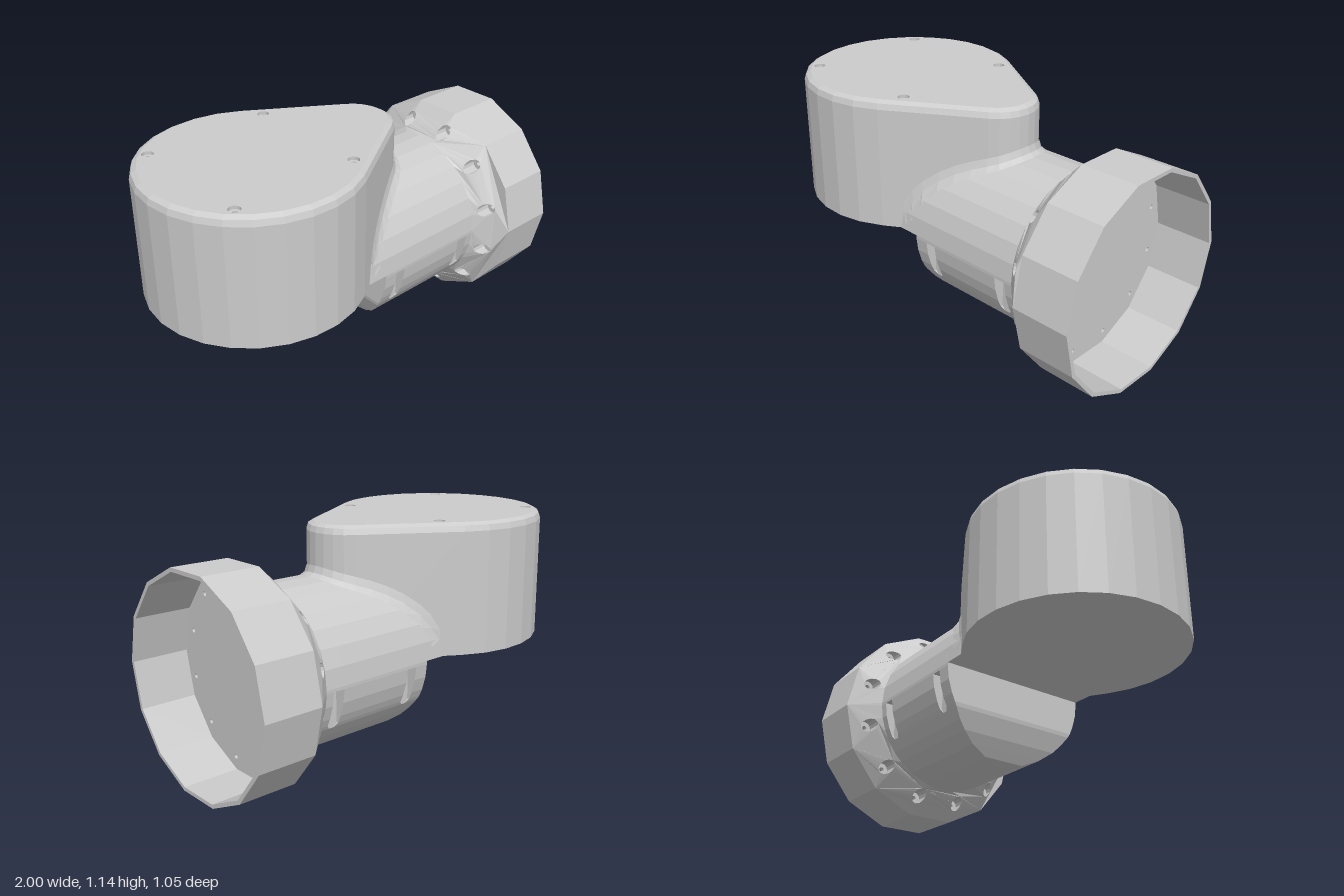
import * as THREE from 'three';

const V = (x, y, z) => new THREE.Vector3(x, y, z);
const RAD = Math.PI / 180;
const AXIS_Y = 0.515;           // height of the barrel axis and of the head's underside
const BARREL_R = 0.393, FLANGE_R = 0.525;
const material = new THREE.MeshStandardMaterial({ color: 0xcccccc, flatShading: true, side: THREE.DoubleSide });

function add(group, name, geometry) {
  const mesh = new THREE.Mesh(geometry, material);
  mesh.name = name;
  group.add(mesh);
  return mesh;
}

// Skin a list of equally long point rows; skip(i, j) leaves a cell open
function loft(rows, closed = true, skip = () => false) {
  const pos = [], n = rows[0].length;
  for (let i = 0; i < rows.length - 1; i++) {
    for (let j = 0; j < (closed ? n : n - 1); j++) {
      if (skip(i, j)) continue;
      const k = (j + 1) % n;
      const [a, b, c, d] = [rows[i][j], rows[i][k], rows[i + 1][k], rows[i + 1][j]];
      for (const p of [a, b, c, a, c, d]) pos.push(p.x, p.y, p.z);
    }
  }
  const g = new THREE.BufferGeometry();
  g.setAttribute('position', new THREE.Float32BufferAttribute(pos, 3));
  g.computeVertexNormals();
  return g;
}

// Circle of 2D points
const circle = (cx, cy, r, n, phase = 0) => Array.from({ length: n }, (_, i) => {
  const t = (i + phase) / n * Math.PI * 2;
  return new THREE.Vector2(cx + r * Math.sin(t), cy + r * Math.cos(t));
});

function plate(outline, holes = []) {
  const shape = new THREE.Shape(outline);
  shape.holes = holes.map(h => new THREE.Path(h));
  return new THREE.ShapeGeometry(shape);
}

// 2D points (z, y) placed around the barrel axis at a given x
const onAxis = (pts, x) => pts.map(p => V(typeof x === 'function' ? x(p) : x, AXIS_Y + p.y, p.x));

// Head plan: hull of a large and a small circle; inset shrinks it
const FLANK = 58 * RAD;
function headPlan(inset = 0) {
  const pts = [];
  const arc = (cx, r, from, to, n) => {
    for (let i = 0; i <= n; i++) {
      const t = from + (to - from) * i / n;
      pts.push(new THREE.Vector2(cx + (r - inset) * Math.cos(t), (r - inset) * Math.sin(t)));
    }
  };
  arc(-0.48, 0.52, FLANK, 2 * Math.PI - FLANK, 18);
  arc(0.122, 0.198, -FLANK, FLANK, 8);
  return pts;
}

function buildHead() {
  const head = new THREE.Group();
  head.name = 'head';
  // Wall with a rounded top edge
  const levels = [[AXIS_Y, 0], [1.105, 0.003], [1.132, 0.012], [1.145, 0.035]];
  add(head, 'headWall', loft(levels.map(([y, d]) => headPlan(d).map(p => V(p.x, y, -p.y)))));
  add(head, 'headUnderside', plate(headPlan()).rotateX(Math.PI / 2)).position.y = AXIS_Y;
  // Lid with four recessed screw holes
  const spots = [[-0.795, 0.315], [-0.165, 0.315], [-0.795, -0.315], [-0.165, -0.315]];
  const lid = plate(headPlan(0.035), spots.map(([x, z]) => circle(x, z, 0.028, 12)));
  add(head, 'lid', lid.rotateX(-Math.PI / 2)).position.y = 1.145;
  for (const [x, z] of spots) {
    const steps = [[0.028, 1.145], [0.028, 1.13], [0.012, 1.13], [0.012, 1.1], [0, 1.1]];
    add(head, 'lidScrewHole', loft(steps.map(([r, y]) => circle(x, z, r, 12).map(p => V(p.x, y, -p.y)))));
  }
  return head;
}

// Angles around the barrel from the top, with extra rows where the slots begin and end
const UPPER = Array.from({ length: 8 }, (_, i) => i * 90 / 7);
const SLOT_TOP = 2.2, SLOT_END = 31.3;
const LOWER = [0, SLOT_TOP, 12, 22, 28, SLOT_END, 40, 48, 60, 74, 82, 90];
const SLOTS = [[0.05, 0.105], [0.485, 0.545]];
const drop = a => AXIS_Y - BARREL_R * Math.sin(a * RAD);
const wide = a => BARREL_R * Math.cos(a * RAD);

// Rounded lower nose of the barrel: x of the end face at height y
function noseX(y) {
  const p = [[0.12, 0.115], [0.135, 0.07], [0.22, 0.02], [0.32, -0.02]];
  for (let i = 0; i < 3; i++) {
    if (y < p[i + 1][0]) {
      const f = Math.max(0, (y - p[i][0]) / (p[i + 1][0] - p[i][0]));
      return p[i][1] + (p[i + 1][1] - p[i][1]) * f;
    }
  }
  return -0.02;
}

// Slot edges, pinched at the lower end
const slotEdges = ([x0, x1], a) => a === SLOT_END ? [x0 + 0.016, x1 - 0.016] : [x0, x1];

function buildBarrel() {
  const barrel = new THREE.Group();
  barrel.name = 'barrel';
  const half = [...UPPER.map(t => ({ t, a: -1 })), ...LOWER.map(a => ({ t: 90 + a, a }))];
  const ring = [...half, ...half.slice(1, -1).reverse().map(({ t, a }) => ({ t: 360 - t, a }))];
  const columns = ({ a }) => {
    const start = a < 0 ? -0.3 : noseX(drop(a));
    return [start, ...SLOTS.flatMap(s => slotEdges(s, a)), 0.585].map(x => Math.max(x, start));
  };
  const rows = [0, 1, 2, 3, 4, 5].map(c => ring.map(p => V(columns(p)[c],
    AXIS_Y + BARREL_R * Math.cos(p.t * RAD), BARREL_R * Math.sin(p.t * RAD))));
  const inSlot = p => p.a >= SLOT_TOP && p.a <= SLOT_END;
  add(barrel, 'barrelShell', loft(rows, true,
    (i, j) => (i === 1 || i === 3) && inSlot(ring[j]) && inSlot(ring[(j + 1) % ring.length])));

  // Nose face and the ledge above it
  add(barrel, 'barrelNose', loft(LOWER.map(a => [1, -1].map(s => V(noseX(drop(a)), drop(a), s * wide(a)))), false));
  add(barrel, 'barrelLedge', loft([-0.3, -0.02].map(x => [-1, 1].map(s => V(x, AXIS_Y, s * BARREL_R))), false));

  // Side slots, mirrored front and back
  const depth = wide(SLOT_END);
  for (const s of [1, -1]) for (const slot of SLOTS) {
    const walls = LOWER.filter(a => a >= SLOT_TOP && a <= SLOT_END).map(a => {
      const [x0, x1] = slotEdges(slot, a), y = drop(a);
      const path = [V(x0, y, s * wide(a)), V(x0, y, s * depth), V(x1, y, s * depth), V(x1, y, s * wide(a))];
      return s > 0 ? path.reverse() : path;
    });
    add(barrel, 'slotWalls', loft(walls, false));
    const [p, q, r, t] = walls[0];
    add(barrel, 'slotCeiling', loft([[p, q], [t, r]], false));
  }

  // Fillet where the head's flanks meet the barrel
  const top = z => AXIS_Y + Math.sqrt(Math.max(0, BARREL_R ** 2 - z * z));
  const plan = headPlan(), tip = plan.slice(-9);
  const flank = (from, to) => [0.21, 0.3, 0.4, 0.55, 0.7, 0.85].map(f => from.clone().lerp(to, f));
  const path = [...flank(plan[18], tip[0]), ...tip, ...flank(plan[0], tip[8]).reverse()];
  const fillet = path.map((p, i) => {
    const ang = Math.min(1, Math.max(-1, (i - 10) / 4)) * FLANK;
    const out = Math.max(-0.392, Math.min(0.392, p.y + 0.035 * Math.sin(ang)));
    const foot = V(p.x + 0.035 * Math.cos(ang), top(out), -out);
    const wall = V(p.x, top(p.y) + 0.045, -p.y);
    const mid = foot.clone().lerp(wall, 0.5).lerp(V(p.x, top(p.y), -p.y), 0.4);
    return [foot, mid, wall];
  });
  add(barrel, 'headFillet', loft([0, 1, 2].map(k => fillet.map(f => f[k])), false));
  return { barrel, ring };
}

function buildFlange(ring) {
  const flange = new THREE.Group();
  flange.name = 'flange';
  // Fourteen-sided open cup
  const cup = [[0.715, FLANGE_R], [1, FLANGE_R], [1, 0.506], [0.72, 0.506]];
  add(flange, 'flangeCup', loft(cup.map(([x, r]) => onAxis(circle(0, 0, r, 14, 0.5), x))));

  // Cup floor with a ring of bolt holes
  const bolts = Array.from({ length: 12 }, (_, i) => (15 + 30 * i) * RAD)
    .map(t => [0.445 * Math.sin(t), 0.445 * Math.cos(t)]);
  const floor = plate(circle(0, 0, 0.506, 14, 0.5), bolts.map(([u, v]) => circle(u, v, 0.012, 10)));
  add(flange, 'cupFloor', floor.rotateY(Math.PI / 2)).position.set(0.72, AXIS_Y, 0);

  // Conical shoulder: a pierced flat ring pushed out by its radius
  const lift = r => 0.585 + (r - BARREL_R) / (FLANGE_R - BARREL_R) * 0.13;
  const angles = [...new Set(ring.map(p => p.t))];
  const neck = angles.map(t => new THREE.Vector2(BARREL_R * Math.sin(t * RAD), BARREL_R * Math.cos(t * RAD)));
  const cone = plate(circle(0, 0, FLANGE_R, 14, 0.5), [neck, ...bolts.map(([u, v]) => circle(u, v, 0.033, 12))]);
  cone.rotateY(-Math.PI / 2);
  const pos = cone.attributes.position;
  for (let i = 0; i < pos.count; i++) pos.setX(i, lift(Math.hypot(pos.getY(i), pos.getZ(i))));
  cone.computeVertexNormals();
  add(flange, 'shoulder', cone).position.y = AXIS_Y;

  // Counterbored bolt pockets
  for (const [u, v] of bolts) {
    const steps = [[0.033, p => lift(p.length())], [0.033, 0.69], [0.012, 0.69], [0.012, 0.72]];
    add(flange, 'boltPocket', loft(steps.map(([r, x]) => onAxis(circle(u, v, r, 12), x).reverse())));
  }
  return flange;
}

export function createModel() {
  const model = new THREE.Group();
  model.name = 'angledJointHousing';
  const { barrel, ring } = buildBarrel();
  model.add(buildHead(), barrel, buildFlange(ring));
  return model;
}
